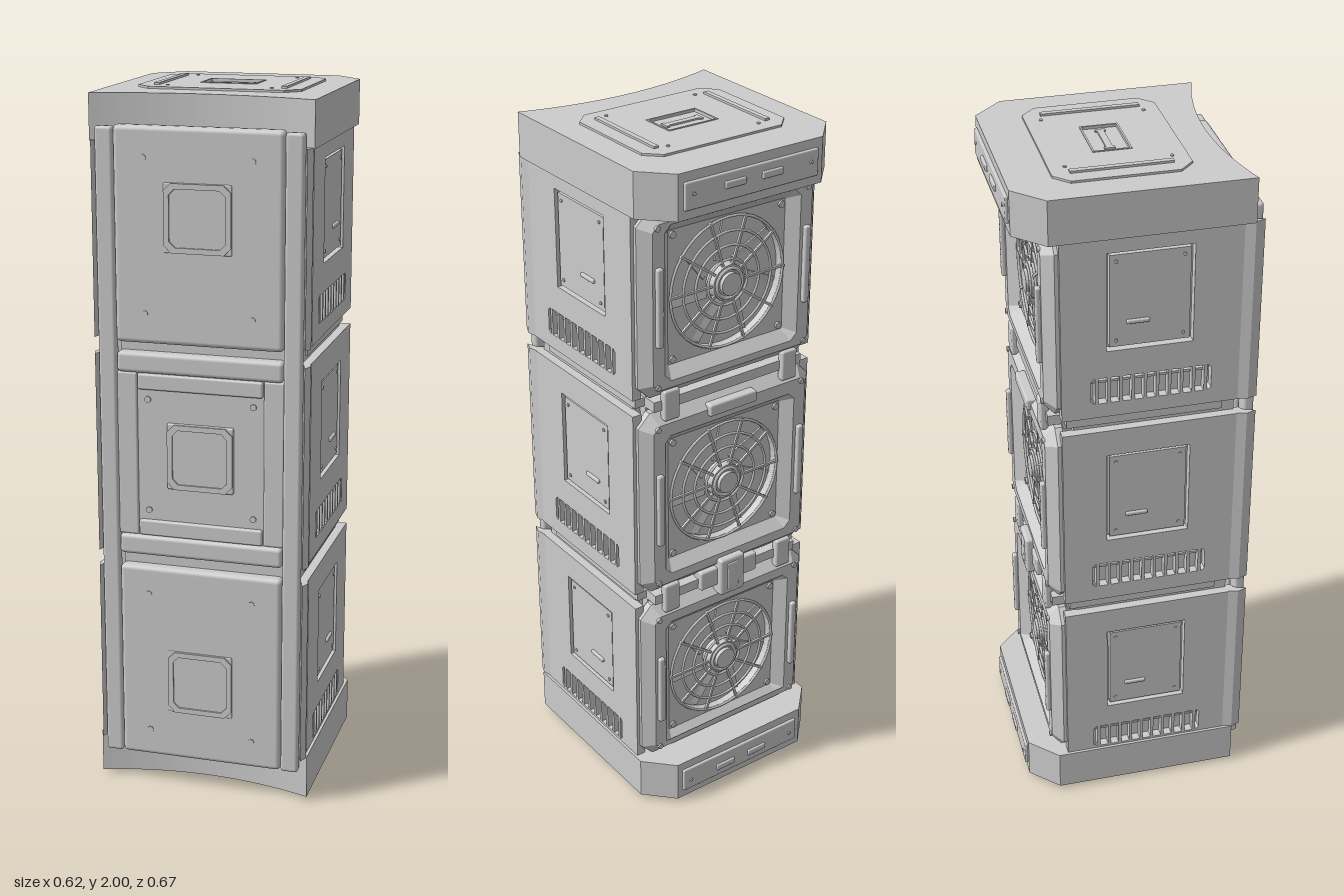
import * as THREE from 'three';
import { RoundedBoxGeometry } from 'three/addons/geometries/RoundedBoxGeometry.js';

const grey = new THREE.MeshStandardMaterial({ color: 0xcccccc });
grey.name = 'light grey';

function add(parent, name, geo, x = 0, y = 0, z = 0) {
  const m = new THREE.Mesh(geo, grey);
  m.name = name;
  m.position.set(x, y, z);
  parent.add(m);
  return m;
}
const box = (p, name, w, h, d, x, y, z) => add(p, name, new THREE.BoxGeometry(w, h, d), x, y, z);
const soft = (p, name, w, h, d, x, y, z, r = 0.01) =>
  add(p, name, new RoundedBoxGeometry(w, h, d, 3, r), x, y, z);
// Cylinder whose axis runs along z
const disc = (p, name, r, d, x, y, z, n = 24) =>
  add(p, name, new THREE.CylinderGeometry(r, r, d, n).rotateX(Math.PI / 2), x, y, z);

function rect(C, x0, y0, x1, y1, c = 0) {
  const s = new C();
  s.moveTo(x0 + c, y0);
  s.lineTo(x1 - c, y0);
  if (c) s.lineTo(x1, y0 + c);
  s.lineTo(x1, y1 - c);
  if (c) s.lineTo(x1 - c, y1);
  s.lineTo(x0 + c, y1);
  if (c) s.lineTo(x0, y1 - c);
  s.lineTo(x0, y0 + c);
  s.closePath();
  return s;
}
const slab = (shape, depth, opts = {}) =>
  new THREE.ExtrudeGeometry(shape, { depth, bevelEnabled: false, curveSegments: 24, ...opts });
// Upright prism from a plan outline of [x, z] points
const prism = (pts, h) =>
  slab(new THREE.Shape(pts.map(([x, z]) => new THREE.Vector2(x, -z))), h).rotateX(-Math.PI / 2);

// End cap, built as the top one; the lower one is turned over
function cap() {
  const g = new THREE.Group();
  const pts = [[0.308, -0.24], [0.23, -0.32], [-0.23, -0.32], [-0.308, -0.24]];
  for (let i = 0; i <= 24; i++) {
    const t = i / 12 - 1;
    pts.push([0.308 * t, 0.25 + 0.05 * t * t]);
  }
  add(g, 'capBlock', prism(pts, 0.126), 0, 1.862, 0);
  // Chamfered lid plate with a recessed grip
  const s = rect(THREE.Shape, -0.228, -0.162, 0.228, 0.202, 0.04);
  s.holes.push(rect(THREE.Path, -0.078, -0.03, 0.077, 0.07));
  add(g, 'lidPlate', slab(s, 0.006).rotateX(-Math.PI / 2), 0, 1.988, 0);
  const rim = rect(THREE.Shape, -0.08, -0.032, 0.079, 0.072);
  rim.holes.push(rect(THREE.Path, -0.075, -0.027, 0.074, 0.067));
  add(g, 'gripRim', slab(rim, 0.008).rotateX(-Math.PI / 2), 0, 1.988, 0);
  box(g, 'gripBar', 0.104, 0.005, 0.018, 0, 1.99, -0.021);
  for (const x of [-1, 1]) {
    box(g, 'gripEnd', 0.01, 0.005, 0.028, x * 0.054, 1.99, -0.021);
    box(g, 'lidRail', 0.015, 0.006, 0.27, x * 0.178, 1.997, -0.02);
    for (const z of [-0.16, 0.12])
      add(g, 'lidScrew', new THREE.CylinderGeometry(0.005, 0.005, 0.004, 12), x * 0.145, 1.995, z);
  }
  // Rear plate
  soft(g, 'rearPlate', 0.425, 0.075, 0.012, 0, 1.925, -0.322, 0.004);
  for (const x of [-0.06, 0.058]) soft(g, 'rearTab', 0.066, 0.02, 0.012, x, 1.93, -0.328, 0.004);
  for (const x of [-0.187, 0.187]) disc(g, 'rearScrew', 0.005, 0.006, x, 1.93, -0.329, 12);
  return g;
}

// Side cover with a hatch and a vent; s is +1 or -1
function sideCover(s, y0, y1, hatchY, ventY) {
  const g = new THREE.Group();
  g.rotation.y = s * Math.PI / 2;
  const a = -s * 0.272, b = s * 0.212;
  const R = (C, u0, v0, u1, v1, c) => rect(C, Math.min(u0, u1), v0, Math.max(u0, u1), v1, c);
  const cover = R(THREE.Shape, a, y0, b, y1);
  cover.holes.push(R(THREE.Path, -s * 0.143, hatchY - 0.143, s * 0.09, hatchY + 0.143));
  cover.holes.push(R(THREE.Path, -s * 0.196, ventY - 0.039, s * 0.132, ventY + 0.039, 0.008));
  add(g, 'cover', slab(cover, 0.028), 0, 0, 0.272);
  const cu = -s * 0.0265;
  box(g, 'hatch', 0.215, 0.268, 0.02, cu, hatchY, 0.285);
  soft(g, 'hatchHandle', 0.062, 0.012, 0.014, s * 0.005, hatchY - 0.063, 0.295, 0.004);
  for (const u of [-0.09, 0.09]) for (const v of [-0.115, 0.115])
    disc(g, 'hatchScrew', 0.005, 0.006, cu + u, hatchY + v, 0.295, 10);
  // Vent fins
  for (let i = 0; i < 10; i++)
    box(g, 'ventFin', 0.009, 0.078, 0.024, -s * 0.032 + (i - 4.5) * 0.033, ventY, 0.288);
  box(g, 'ventBar', 0.32, 0.007, 0.01, -s * 0.032, ventY + 0.022, 0.283);
  return g;
}

// Fan with its blades, housing and wire guard
function fan() {
  const g = new THREE.Group();
  const plate = rect(THREE.Shape, -0.205, -0.205, 0.205, 0.205, 0.02);
  plate.holes.push(new THREE.Path().absarc(0, 0, 0.185, 0, Math.PI * 2, true));
  add(g, 'housing', slab(plate, 0.045), 0, 0, -0.222);
  for (let i = 0; i < 7; i++) {
    const arm = new THREE.Group();
    arm.rotation.z = i / 7 * Math.PI * 2;
    box(arm, 'blade', 0.125, 0.085, 0.004, 0.115, 0, -0.193).rotation.x = 0.25;
    g.add(arm);
  }
  for (const r of [0.065, 0.105, 0.145, 0.186])
    add(g, 'guardRing', new THREE.TorusGeometry(r, 0.004, 6, 40), 0, 0, -0.226);
  for (let i = 0; i < 10; i++) {
    const t = i / 10 * Math.PI * 2;
    const c = 0.12;
    box(g, 'guardSpoke', 0.14, 0.007, 0.007, Math.cos(t) * c, Math.sin(t) * c, -0.226).rotation.z = t;
  }
  disc(g, 'hub', 0.052, 0.045, 0, 0, -0.212);
  disc(g, 'hubCap', 0.032, 0.016, 0, 0, -0.238);
  add(g, 'hubRing', new THREE.TorusGeometry(0.042, 0.005, 6, 28), 0, 0, -0.235);
  for (const x of [-0.178, 0.178]) for (const y of [-0.178, 0.178])
    disc(g, 'fanScrew', 0.01, 0.008, x, y, -0.224, 12);
  return g;
}

// Rear frame around a fan
function rearFrame(y0, y1, fanY) {
  const g = new THREE.Group();
  const s = rect(THREE.Shape, -0.26, y0 + 0.03, 0.26, y1 - 0.03, 0.02);
  s.holes.push(rect(THREE.Path, -0.222, fanY - 0.222, 0.222, fanY + 0.222, 0.02));
  add(g, 'frame', slab(s, 0.02, { bevelEnabled: true, bevelThickness: 0.03, bevelSize: 0.03, bevelSegments: 1 }), 0, 0, -0.222);
  for (const x of [-1, 1]) {
    soft(g, 'sideHandle', 0.02, 0.225, 0.02, x * 0.242, fanY, -0.255, 0.006);
    for (const y of [y0 + 0.04, y1 - 0.04]) disc(g, 'frameScrew', 0.008, 0.008, x * 0.245, y, -0.253, 12);
  }
  const f = fan();
  f.name = 'fan';
  f.position.y = fanY;
  g.add(f);
  return g;
}

// Rounded-square badge on the front
function badge(g, y, z) {
  soft(g, 'badgeBase', 0.19, 0.19, 0.012, 0, y, z, 0.005);
  const s = rect(THREE.Shape, -0.093, -0.093, 0.093, 0.093, 0.02);
  s.holes.push(rect(THREE.Path, -0.078, -0.078, 0.078, 0.078, 0.016));
  add(g, 'badgeRim', slab(s, 0.008), 0, y, z + 0.003);
}

export function createModel() {
  const model = new THREE.Group();
  model.name = 'tower';
  const top = cap(), bottom = cap();
  top.name = 'topCap';
  bottom.name = 'bottomCap';
  // Turned over by mirroring vertices so faces keep their outward side
  bottom.rotation.z = Math.PI;
  bottom.position.y = 2;
  model.add(top, bottom);

  // Inner body
  box(model, 'core', 0.55, 1.76, 0.445, 0, 1, 0.0475);
  box(model, 'coreBack', 0.5, 1.76, 0.03, 0, 1, -0.185);
  for (const y of [0.69, 1.31]) {
    box(model, 'seamRail', 0.56, 0.026, 0.43, 0, y, 0.02);
    box(model, 'rearSeamRail', 0.5, 0.03, 0.05, 0, y, -0.215);
    for (const x of [-0.2, 0.2]) soft(model, 'seamClip', 0.05, 0.09, 0.024, x, y, -0.243, 0.006);
  }

  // Three stacked modules: y0, y1, hatch, vent, fan heights
  const modules = [
    [0.135, 0.667, 0.443, 0.184, 0.385],
    [0.714, 1.286, 1.063, 0.801, 0.995],
    [1.333, 1.865, 1.677, 1.415, 1.605],
  ];
  for (const [y0, y1, hatchY, ventY, fanY] of modules) {
    const m = new THREE.Group();
    m.name = 'module';
    for (const s of [-1, 1]) {
      const c = sideCover(s, y0, y1, hatchY, ventY);
      c.name = 'sideCover';
      m.add(c);
      const pts = [[0.268, 0.265], [0.297, 0.268], [0.305, 0.3], [0.295, 0.327], [0.285, 0.297], [0.268, 0.285]];
      add(m, 'frontCorner', prism(pts.map(([x, z]) => [x * s, z]), y1 - y0), 0, y0, 0);
    }
    const f = rearFrame(y0, y1, fanY);
    f.name = 'rearFrame';
    m.add(f);
    model.add(m);
  }

  // Rear brackets across the seams
  soft(model, 'upperBracket', 0.16, 0.035, 0.03, 0, 1.255, -0.25, 0.006);
  soft(model, 'lowerBracket', 0.2, 0.06, 0.04, 0, 0.7, -0.235, 0.006);
  soft(model, 'latch', 0.085, 0.12, 0.05, 0, 0.7, -0.248, 0.008);
  soft(model, 'latchFace', 0.04, 0.09, 0.012, 0, 0.7, -0.27, 0.005);

  // Front panels
  for (const s of [-1, 1]) {
    soft(model, 'frontStrip', 0.05, 1.81, 0.03, s * 0.261, 1, 0.31, 0.009);
    soft(model, 'middlePost', 0.058, 0.47, 0.032, s * 0.209, 1.003, 0.3, 0.006);
  }
  for (const [y0, y1, by] of [[1.323, 1.91, 1.67], [0.095, 0.677, 0.335]]) {
    soft(model, 'frontPanel', 0.47, y1 - y0, 0.042, 0, (y0 + y1) / 2, 0.305, 0.014);
    badge(model, by, 0.322);
    for (const x of [-0.15, 0.15]) for (const y of [-0.21, 0.21])
      disc(model, 'panelScrew', 0.009, 0.005, x, (y0 + y1) / 2 + y, 0.326, 12);
  }
  box(model, 'middlePanel', 0.4, 0.5, 0.035, 0, 1.003, 0.292);
  badge(model, 1.005, 0.312);
  for (const s of [-1, 1]) {
    soft(model, 'crossBar', 0.47, 0.058, 0.042, 0, 1.003 + s * 0.264, 0.303, 0.012);
    soft(model, 'innerBar', 0.355, 0.045, 0.032, 0, 1.003 + s * 0.211, 0.305, 0.006);
    for (const x of [-0.15, 0.15]) disc(model, 'panelScrew', 0.009, 0.006, x, 1.003 + s * 0.16, 0.311, 12);
  }
  box(model, 'frontSeams', 0.46, 0.68, 0.02, 0, 1, 0.282);
  return model;
}
